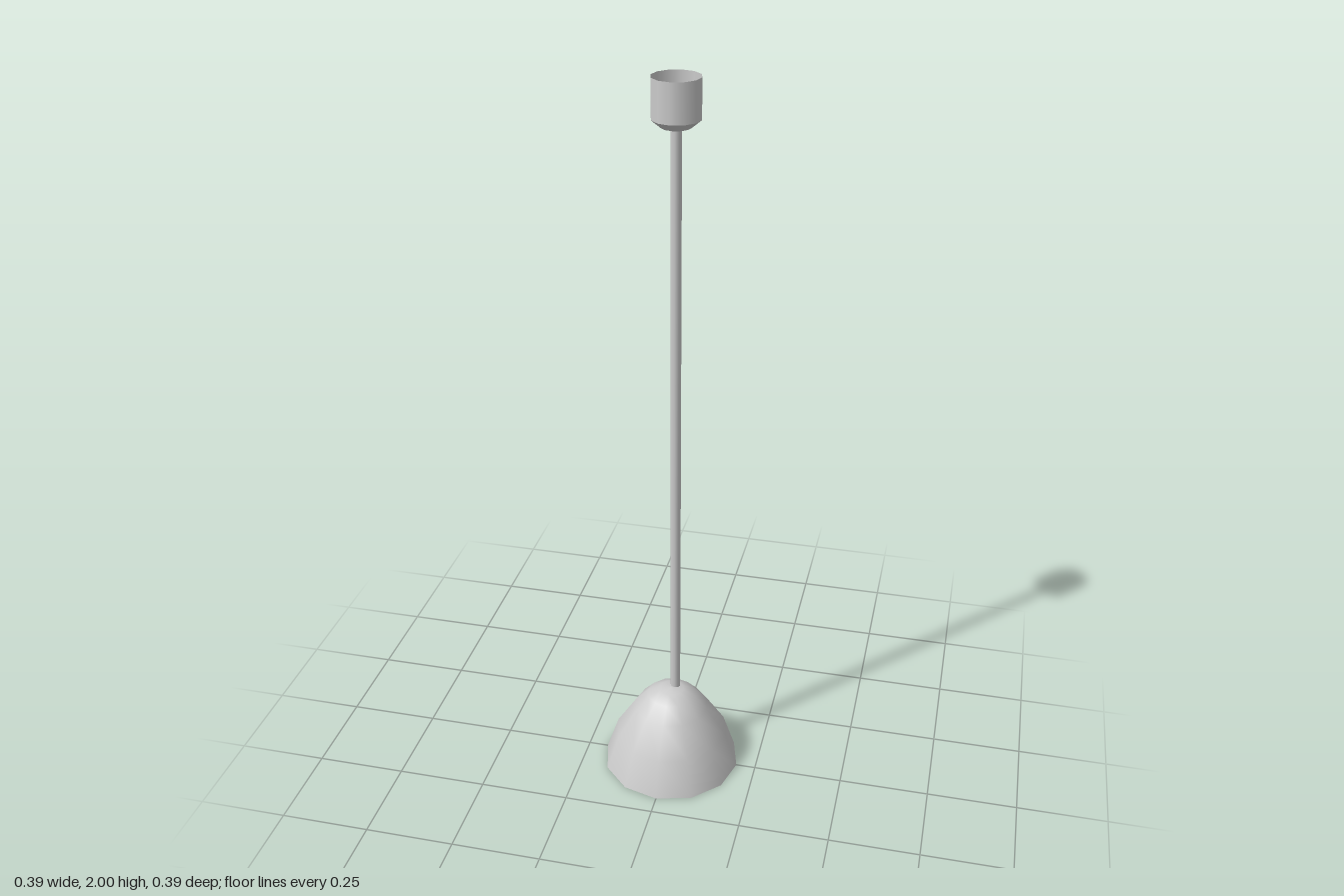
import * as THREE from 'three';

const SIDES = 12;
const grey = new THREE.MeshStandardMaterial({ color: 0xcccccc, side: THREE.DoubleSide });

// Revolve one [radius, height] profile around the y axis
function lathe(profile, name, group) {
  const points = profile.map(([r, y]) => new THREE.Vector2(r, y));
  const mesh = new THREE.Mesh(new THREE.LatheGeometry(points, SIDES), grey);
  mesh.name = name;
  group.add(mesh);
  return mesh;
}

export function createModel() {
  const group = new THREE.Group();
  group.name = 'pendantLamp';

  // Bell-shaped shade with a closed crown
  lathe([[0.195, 0], [0.16, 0.105], [0.105, 0.19], [0.068, 0.23], [0.035, 0.247], [0, 0.25]], 'shade', group);

  // Flat rim, short inner lip and recessed diffuser under the shade
  lathe([[0.18, 0], [0.195, 0]], 'shadeRim', group);
  lathe([[0.18, 0.015], [0.18, 0]], 'shadeLip', group);
  lathe([[0, 0.015], [0.18, 0.015]], 'diffuser', group);

  // Rod and ceiling cup share an axis slightly off the shade's centre
  const hanger = new THREE.Group();
  hanger.name = 'hanger';
  hanger.position.set(0.008, 0, -0.015);
  group.add(hanger);

  const rod = new THREE.Mesh(new THREE.CylinderGeometry(0.014, 0.014, 1.64, 8), grey);
  rod.name = 'rod';
  rod.position.y = 1.06;
  hanger.add(rod);

  // Ceiling cup, open at the top, with a bevelled base
  lathe([[0.062, 1.9], [0.062, 2]], 'cupWall', hanger);
  lathe([[0.038, 1.88], [0.062, 1.9]], 'cupBevel', hanger);
  lathe([[0, 1.88], [0.038, 1.88]], 'cupBase', hanger);

  return group;
}
